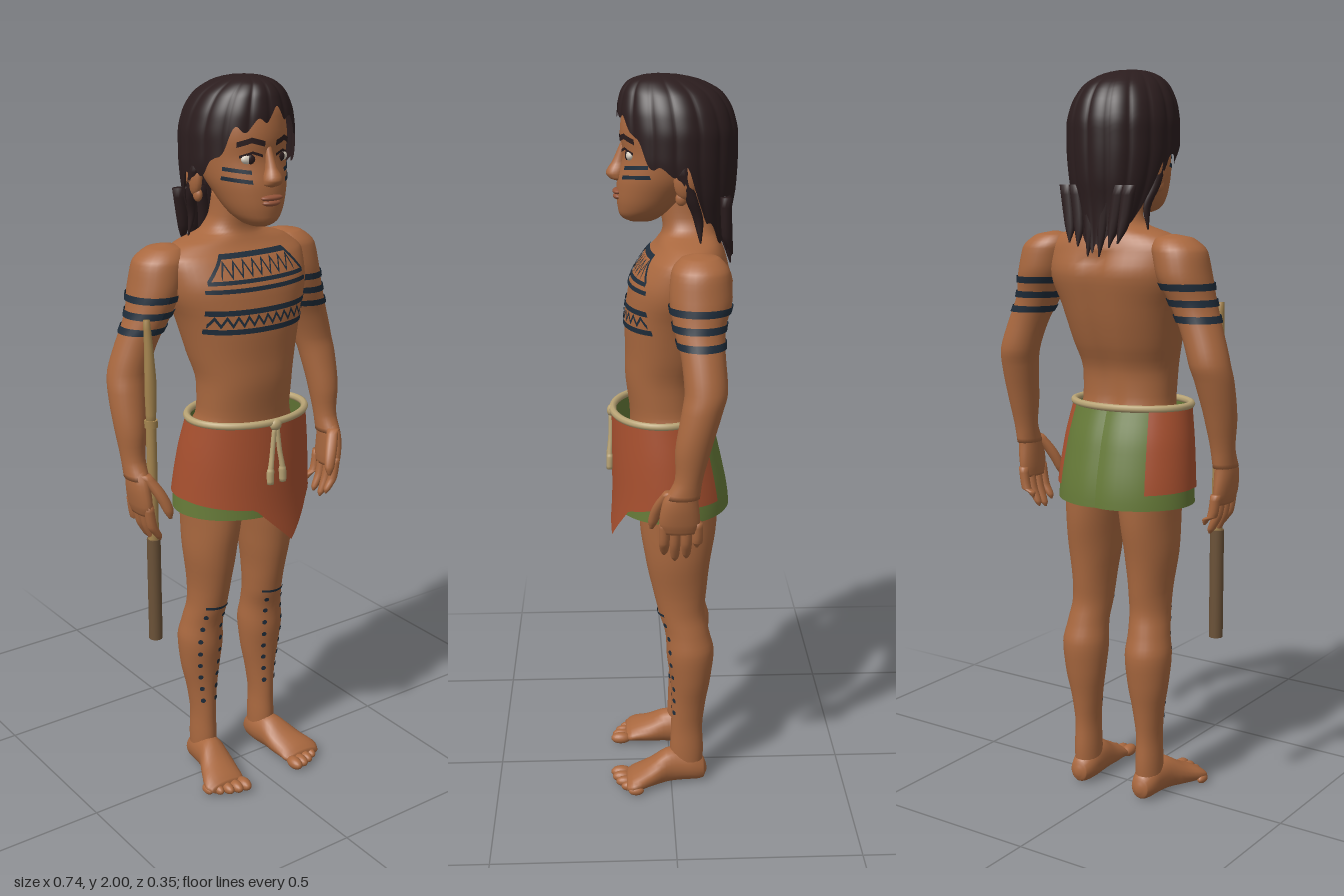
import * as THREE from 'three';

const mat = (name, color, side = THREE.FrontSide) => {
  const m = new THREE.MeshStandardMaterial({ color, side });
  m.name = name;
  return m;
};

// Smooth, overshoot-free interpolation of rows [y, cx, cz, rx, rz] by height
function profile(rows) {
  const r = [...rows].sort((a, b) => a[0] - b[0]), n = r.length;
  const sec = (i, k) => (r[i + 1][k] - r[i][k]) / (r[i + 1][0] - r[i][0]);
  const slope = (i, k) => {
    if (i === 0) return sec(0, k);
    if (i === n - 1) return sec(n - 2, k);
    const a = sec(i - 1, k), b = sec(i, k);
    return a * b > 0 ? 2 * a * b / (a + b) : 0;
  };
  const at = (y) => {
    let i = 0;
    while (i < n - 2 && y > r[i + 1][0]) i++;
    const h = r[i + 1][0] - r[i][0], t = Math.min(1, Math.max(0, (y - r[i][0]) / h));
    const t2 = t * t, t3 = t2 * t;
    return [1, 2, 3, 4].map(k => (2 * t3 - 3 * t2 + 1) * r[i][k] + (t3 - 2 * t2 + t) * h * slope(i, k)
      + (3 * t2 - 2 * t3) * r[i + 1][k] + (t3 - t2) * h * slope(i + 1, k));
  };
  return { at, ys: r.map(q => q[0]) };
}

const spow = (v, e) => Math.sign(v) * Math.abs(v) ** e;
const build = (pos, idx) => {
  const g = new THREE.BufferGeometry();
  g.setAttribute('position', new THREE.Float32BufferAttribute(pos, 3));
  g.setIndex(idx);
  g.computeVertexNormals();
  return g;
};

// Closed body of stacked rounded rings
function loft(rows, seg = 24, sub = 4, n = 2) {
  const { at, ys } = profile(rows), hs = [], pos = [], idx = [];
  ys.forEach((y, i) => {
    if (i) for (let s = 1; s <= sub; s++) hs.push(ys[i - 1] + (y - ys[i - 1]) * s / sub);
    else hs.push(y);
  });
  hs.forEach((y, i) => {
    const [cx, cz, rx, rz] = at(y);
    for (let j = 0; j < seg; j++) {
      const a = j / seg * Math.PI * 2, k = (j + 1) % seg;
      pos.push(cx + rx * spow(Math.sin(a), 2 / n), y, cz + rz * spow(Math.cos(a), 2 / n));
      if (i) {
        const p = (i - 1) * seg, q = i * seg;
        idx.push(p + j, p + k, q + k, p + j, q + k, q + j);
      }
    }
  });
  const last = (hs.length - 1) * seg, c = hs.length * seg;
  [hs[0], hs.at(-1)].forEach(y => { const [cx, cz] = at(y); pos.push(cx, y, cz); });
  for (let j = 0; j < seg; j++) {
    const k = (j + 1) % seg;
    idx.push(c, k, j, c + 1, last + j, last + k);
  }
  return build(pos, idx);
}

// Open sheet wrapped around a profile, its hem height depending on the angle from the front
function shell(rows, a0, a1, hem, top, { grow = 0, groove = () => 1, cols = 60, lines = 14, ease = 1 } = {}) {
  const { at } = profile(rows), pos = [], idx = [], w = cols + 1;
  for (let i = 0; i <= lines; i++) for (let j = 0; j <= cols; j++) {
    const a = a0 + (a1 - a0) * j / cols, y = top - (top - hem(a)) * (1 - i / lines) ** ease;
    const [cx, cz, rx, rz] = at(y), g = groove(a);
    pos.push(cx + (rx + grow) * g * Math.sin(a), y, cz + (rz + grow) * g * Math.cos(a));
    if (i && j) {
      const p = (i - 1) * w + j, q = i * w + j;
      idx.push(p - 1, p, q, p - 1, q, q - 1);
    }
  }
  return build(pos, idx);
}

// Piecewise linear lookup for hems
const hemOf = (pts) => (a) => {
  let i = 0;
  while (i < pts.length - 2 && a > pts[i + 1][0]) i++;
  const [x0, y0] = pts[i], [x1, y1] = pts[i + 1];
  return y0 + (y1 - y0) * Math.min(1, Math.max(0, (a - x0) / (x1 - x0)));
};

export function createModel() {
  const root = new THREE.Group();
  root.name = 'warrior';
  const D = THREE.DoubleSide;
  const skin = mat('skin', 0xa9683f), hair = mat('hair', 0x2b1d1e, D), cloth = mat('redCloth', 0xa8502f, D);
  const green = mat('greenCloth', 0x667a38, D), rope = mat('rope', 0xb9a475), paint = mat('bodyPaint', 0x1f2d3b, D);
  const wood = mat('darkWood', 0x6b5238), cane = mat('cane', 0xa5854f), white = mat('eyeWhite', 0xd8cfc0);
  const lip = mat('lips', 0x94543a);
  const add = (name, geo, m) => {
    const mesh = new THREE.Mesh(geo, m);
    mesh.name = name;
    root.add(mesh);
    return mesh;
  };
  const blob = (name, m, x, y, z, rx, ry, rz) =>
    add(name, new THREE.SphereGeometry(1, 18, 12).scale(rx, ry, rz).translate(x, y, z), m);

  // Painted strips laid on the front of a body part
  const ray = new THREE.Raycaster(), fwd = new THREE.Vector3(0, 0, -1);
  const hit = (mesh, x, y) => {
    ray.set(new THREE.Vector3(x, y, 2), fwd);
    return ray.intersectObject(mesh)[0];
  };
  const ribbon = (name, mesh, pts, w, m = paint) => {
    const pos = [], idx = [];
    for (let i = 0; i < pts.length - 1; i++) {
      const n = Math.max(2, Math.ceil(Math.abs(pts[i + 1][0] - pts[i][0]) / 0.012));
      for (let s = i ? 1 : 0; s <= n; s++) {
        const x = pts[i][0] + (pts[i + 1][0] - pts[i][0]) * s / n, y = pts[i][1] + (pts[i + 1][1] - pts[i][1]) * s / n;
        const lo = hit(mesh, x, y - w / 2), hi = hit(mesh, x, y + w / 2);
        if (!lo || !hi) continue;
        pos.push(x, y - w / 2, lo.point.z + 0.004, x, y + w / 2, hi.point.z + 0.004);
        const c = pos.length / 3;
        if (c > 2) idx.push(c - 4, c - 2, c - 1, c - 4, c - 1, c - 3);
      }
    }
    add(name, build(pos, idx), m);
  };

  // Torso with a spine furrow
  const torsoGeo = loft([[1.7, 0, -.03, .055, .06], [1.64, 0, -.04, .06, .062], [1.6, 0, -.05, .08, .07],
    [1.57, 0, -.05, .17, .085], [1.53, 0, -.04, .213, .11], [1.46, 0, -.03, .208, .138], [1.38, 0, -.015, .18, .135],
    [1.28, 0, 0, .155, .12], [1.2, 0, .015, .137, .105], [1.12, 0, .01, .135, .1], [1.05, 0, -.005, .158, .115],
    [.95, 0, -.01, .172, .125], [.87, 0, -.01, .165, .11], [.82, 0, -.01, .1, .05]], 48, 4, 2.2);
  const tp = torsoGeo.attributes.position;
  for (let i = 0; i < tp.count; i++) {
    const y = tp.getY(i);
    if (tp.getZ(i) < -.02 && y > 1 && y < 1.52) tp.setZ(i, tp.getZ(i) + .016 * Math.exp(-((tp.getX(i) / .03) ** 2)));
  }
  torsoGeo.computeVertexNormals();
  const torso = add('torso', torsoGeo, skin);

  // Chest paint
  const zigzag = (w, y, amp, n) => Array.from({ length: n + 1 }, (_, i) => [-w + 2 * w * i / n, y + (i % 2 ? amp : -amp)]);
  [[.1, 1.548, .012], [.15, 1.487, .01], [.16, 1.466, .011], [.16, 1.41, .014], [.16, 1.36, .014]]
    .forEach(([w, y, t]) => ribbon('chestLine', torso, [[-w, y], [w, y]], t));
  ribbon('chestZigzag', torso, zigzag(.115, 1.517, .018, 16), .011);
  ribbon('chestZigzag', torso, zigzag(.155, 1.386, .011, 22), .011);
  for (const s of [-1, 1]) ribbon('chestEdge', torso, [[s * .1, 1.548], [s * .152, 1.487]], .012);

  // Head and face
  const head = add('head', loft([[1.625, 0, .075, .02, .03], [1.633, 0, .075, .04, .047], [1.66, 0, .06, .068, .075],
    [1.7, 0, .04, .088, .098], [1.75, 0, .015, .105, .118], [1.8, 0, .003, .111, .119], [1.85, 0, 0, .113, .128],
    [1.92, 0, 0, .1, .118], [1.97, 0, 0, .05, .06]], 32), skin);
  add('nose', loft([[1.835, 0, .115, .008, .008], [1.78, 0, .13, .014, .018], [1.75, 0, .138, .025, .027],
    [1.737, 0, .135, .024, .022], [1.73, 0, .13, .008, .01]], 16), skin);
  blob('upperLip', lip, 0, 1.703, .135, .034, .008, .014);
  blob('lowerLip', lip, 0, 1.69, .132, .028, .009, .016);
  for (const s of [-1, 1]) {
    blob('eye', white, s * .046, 1.8, .102, .025, .014, .012);
    blob('iris', hair, s * .045, 1.8, .109, .013, .013, .007);
    ribbon('brow', head, [[s * .017, 1.838], [s * .05, 1.848], [s * .08, 1.836]], .014, hair);
    ribbon('eyelid', head, [[s * .02, 1.808], [s * .046, 1.817], [s * .074, 1.806]], .007, hair);
    [1.772, 1.748].forEach(y => ribbon('cheekStripe', head, [[s * .05, y - .004], [s * .1, y + .003]], .01));
    blob('ear', skin, s * .122, 1.745, -.035, .016, .048, .03);
    blob('earLobe', skin, s * .118, 1.7, -.025, .011, .018, .015);
  }

  // Hair: grooved mass, loose side locks and back tips
  const half = [[.7, 1.87], [1.05, 1.79], [1.3, 1.765], [1.72, 1.77], [1.92, 1.64], [2.3, 1.58], [3.15, 1.53]];
  const hairHem = hemOf([...half.map(([a, y]) => [-a, y]).reverse(), [-.35, 1.885], [.15, 1.92], ...half]);
  add('hair', shell([[2, 0, .03, 0, 0], [1.995, 0, .02, .04, .05], [1.98, 0, .01, .078, .098], [1.95, 0, -.005, .113, .133],
    [1.9, 0, -.015, .138, .152], [1.85, 0, -.02, .147, .157], [1.8, 0, -.02, .147, .157], [1.72, 0, -.03, .137, .143],
    [1.65, 0, -.05, .115, .112], [1.58, 0, -.07, .085, .087], [1.52, 0, -.1, .05, .06]],
  -Math.PI, Math.PI, a => hairHem(a) + .012 * Math.sin(a * 16), 2,
  { groove: a => .965 + .04 * Math.abs(Math.sin(a * 8 + .4)) ** .6, cols: 192, lines: 30, ease: 1.7 }), hair);
  for (const s of [-1, 1]) {
    add('sideLock', loft([[1.78, s * .13, -.02, .012, .02], [1.7, s * .122, -.05, .012, .016],
      [1.64, s * .108, -.07, .009, .012], [1.585, s * .115, -.075, .002, .002]], 10), hair);
    for (const [x, y] of [[.02, 1.515], [.055, 1.54], [.085, 1.55]])
      add('backTip', loft([[1.7, s * (x + .015), -.14, .02, .015], [1.6, s * x, -.145, .016, .014], [y, s * x * .9, -.16, .002, .002]], 10), hair);
  }

  // Limbs, mirrored
  for (const s of [-1, 1]) {
    const side = rows => rows.map(([y, x, ...r]) => [y, s * x, ...r]);
    const armRows = side([[1.575, .19, -.07, .01, .01], [1.565, .195, -.07, .05, .05], [1.53, .21, -.07, .073, .075],
      [1.47, .225, -.07, .071, .08], [1.4, .25, -.066, .061, .066], [1.32, .285, -.075, .056, .056], [1.25, .308, -.08, .055, .055],
      [1.2, .318, -.07, .052, .052], [1.1, .325, -.047, .042, .046], [1.02, .326, -.036, .032, .036], [.97, .326, -.02, .03, .045]]);
    add('arm', loft(armRows, 28), skin);
    for (const y of [1.444, 1.403, 1.362])
      add('armBand', shell(armRows, 0, Math.PI * 2, () => y - .009, y + .009, { grow: .004, cols: 28, lines: 2 }), paint);

    // Hand
    add('palm', loft(side([[1.01, .326, -.03, .026, .03], [.96, .326, -.015, .027, .046], [.9, .322, -.013, .023, .053],
      [.87, .318, -.014, .017, .045]]), 20), skin);
    [[-.06, .815], [-.032, .785], [-.002, .778], [.026, .795]].forEach(([z, y]) =>
      add('finger', loft(side([[.9, .32, z, .014, .014], [.84, .31, z, .014, .014], [y + .015, .292, z, .011, .011],
        [y, .286, z, .003, .003]]), 12), skin));
    add('thumb', loft(side([[.985, .32, .01, .016, .018], [.94, .295, .035, .018, .018], [.89, .276, .053, .015, .014],
      [.865, .272, .058, .005, .005]]), 12), skin);

    // Leg
    const legRows = side([[.9, .085, -.02, .085, .11], [.8, .09, -.02, .076, .105], [.7, .095, -.02, .069, .09],
      [.6, .095, -.025, .057, .074], [.54, .097, -.03, .055, .065], [.48, .103, -.045, .058, .062], [.42, .106, -.054, .065, .067],
      [.34, .106, -.055, .058, .058], [.25, .105, -.05, .042, .048], [.17, .105, -.045, .034, .045], [.1, .105, -.045, .036, .048],
      [.04, .105, -.045, .035, .045]]);
    const leg = add('leg', loft(legRows, 28), skin), legAt = profile(legRows).at;
    ribbon('kneeLine', leg, [[s * .06, .54], [s * .135, .54]], .008);
    for (let i = 0; i < 8; i++) for (const k of [-.4, .55]) {
      const y = .51 - i * .04, [cx, , rx] = legAt(y), h = hit(leg, cx + s * k * rx, y);
      const dot = add('shinDot', new THREE.CircleGeometry(.0075, 10), paint);
      dot.position.copy(h.point).addScaledVector(h.face.normal, .003);
      dot.lookAt(dot.position.clone().add(h.face.normal));
    }

    // Foot, lofted from heel to toes
    add('foot', loft(side([[-.103, .105, -.035, .008, .01], [-.093, .105, -.037, .028, .032], [-.05, .105, -.05, .04, .05],
      [0, .11, -.052, .043, .052], [.06, .125, -.036, .056, .036], [.11, .138, -.024, .063, .024], [.13, .138, -.018, .052, .015]]),
    20).rotateX(Math.PI / 2), skin);
    for (let i = 0; i < 5; i++)
      blob('toe', skin, s * (.093 + i * .0245), .018 - i * .001, .145 - i * i * .0026, .018 - i * .0015, .017 - i * .001, .03 - i * .002);
  }

  // Shorts and wrapped cloth with a pointed front
  const skirt = [[1.11, 0, .025, .17, .128], [1, 0, .008, .187, .146], [.85, 0, -.005, .2, .16], [.75, 0, 0, .205, .163]];
  add('shorts', shell(skirt, -Math.PI, Math.PI, () => .842, 1.105,
    { groove: a => 1 - .05 * Math.exp(-(((Math.abs(a) - Math.PI) / .12) ** 2)) }), green);
  add('wrapCloth', shell(skirt, -2.4, 2.4, hemOf([[-2.4, .885], [-1.4, .888], [-.3, .868], [.27, .757], [.75, .86], [1.4, .888], [2.4, .885]]),
    1.108, { grow: .006, cols: 72 }), cloth);

  // Rope belt with knot and hanging ends
  const loop = Array.from({ length: 32 }, (_, i) => {
    const a = i / 32 * Math.PI * 2;
    return new THREE.Vector3(.174 * Math.sin(a), 1.11, .025 + .131 * Math.cos(a));
  });
  add('ropeBelt', new THREE.TubeGeometry(new THREE.CatmullRomCurve3(loop, true), 64, .01, 8, true), rope);
  blob('ropeKnot', rope, 0, 1.103, .16, .018, .016, .012);
  for (const s of [-1, 1]) {
    add('ropeEnd', loft([[1.1, s * .004, .16, .007, .007], [1.03, s * .012, .162, .007, .007], [.985, s * .019, .165, .008, .008],
      [.975, s * .02, .165, .011, .01], [.94, s * .021, .166, .01, .009]], 10), rope);
  }

  // Blowpipe held in one hand
  add('pipeBase', new THREE.CylinderGeometry(.019, .019, .3, 16).translate(-.29, .64, 0), wood);
  add('pipeShaft', new THREE.CylinderGeometry(.014, .015, .34, 16).translate(-.29, .95, 0), cane);
  add('pipeCollar', new THREE.CylinderGeometry(.018, .018, .02, 16).translate(-.29, 1.12, 0), cane);
  add('pipeTop', loft([[1.12, -.29, 0, .013, .013], [1.22, -.289, 0, .017, .014], [1.3, -.291, 0, .013, .013],
    [1.4, -.295, -.003, .009, .009]], 14), cane);
  return root;
}
